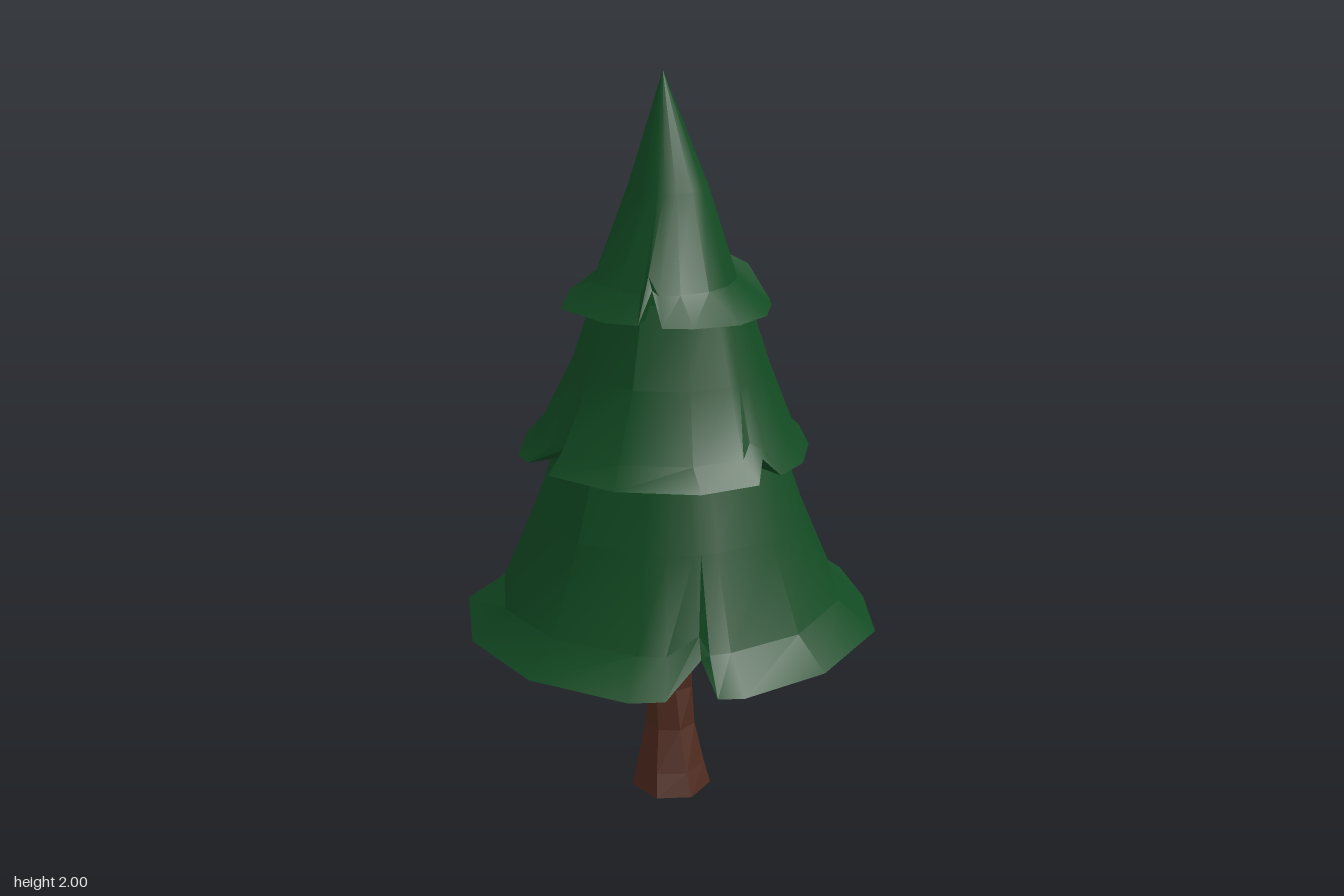
import * as THREE from 'three';
import { toCreasedNormals } from 'three/addons/utils/BufferGeometryUtils.js';

const green = new THREE.MeshStandardMaterial({ color: 0x124a22, side: THREE.DoubleSide });
const brown = new THREE.MeshStandardMaterial({ color: 0x4e2a1e, flatShading: true });

// Skin a stack of closed loops (bottom to top), each running from +x towards +z
function loft(loops, crease) {
  const pos = [];
  const tri = (...pts) => pts.forEach((p) => pos.push(...p));
  const n = loops[0].length;
  for (let k = 0; k < loops.length - 1; k++) {
    for (let i = 0; i < n; i++) {
      const j = (i + 1) % n, lo = loops[k], up = loops[k + 1];
      tri(lo[j], lo[i], up[i]);
      tri(lo[j], up[i], up[j]);
    }
  }
  // closed underside
  const base = loops[0];
  const centre = [0, 1, 2].map((a) => base.reduce((s, p) => s + p[a], 0) / n);
  centre[1] = Math.min(...base.map((p) => p[1])) + 0.01;
  for (let i = 0; i < n; i++) tri(centre, base[i], base[(i + 1) % n]);
  const g = new THREE.BufferGeometry();
  g.setAttribute('position', new THREE.Float32BufferAttribute(pos, 3));
  g.computeVertexNormals();
  return crease ? toCreasedNormals(g, crease) : g;
}

// One skirt of foliage. rim: [x, z, notch?]; rings: [y, radius, cx, cz]
function foliage(name, rimY, lift, rim, rings) {
  const loops = [rim.map(([x, z, notch]) => [x, rimY + (notch ? lift : 0), z])];
  rings.forEach(([y, r, cx = 0, cz = 0], k) => {
    loops.push(rim.map(([x, z, notch]) => {
      const a = Math.atan2(z, x);
      const pinch = notch && k === 0;
      const rr = pinch ? r * 0.93 : r;
      return [cx + rr * Math.cos(a), y + (pinch ? lift * 0.6 : 0), cz + rr * Math.sin(a)];
    }));
  });
  const mesh = new THREE.Mesh(loft(loops, 0.5), green);
  mesh.name = name;
  return mesh;
}

// Trunk: seven-sided sections with a slight twist and a flared foot
function trunk() {
  const sections = [ // y, cx, cz, rx, rz, twist
    [0, 0, 0.04, 0.112, 0.132, 0],
    [0.06, 0, 0.03, 0.096, 0.112, 0.05],
    [0.17, 0.002, 0.01, 0.07, 0.08, 0.15],
    [0.28, 0.003, 0.008, 0.065, 0.055, 0.3],
    [0.4, 0, 0.01, 0.066, 0.066, 0.42],
    [0.54, 0, 0.012, 0.07, 0.078, 0.5],
  ];
  const loops = sections.map(([y, cx, cz, rx, rz, twist]) =>
    Array.from({ length: 7 }, (_, i) => {
      const a = (i / 7) * Math.PI * 2 + 0.22 + twist;
      return [cx + rx * Math.cos(a), y, cz + rz * Math.sin(a)];
    }));
  const mesh = new THREE.Mesh(loft(loops), brown);
  mesh.name = 'trunk';
  return mesh;
}

export function createModel() {
  const tree = new THREE.Group();
  tree.name = 'pineTree';
  tree.add(trunk());

  tree.add(foliage('lowerFoliage', 0.487, 0.07, [
    [-0.125, -0.56], [0.145, -0.52], [0.27, -0.46], [0.38, -0.38], [0.515, -0.19],
    [0.495, -0.13, 1], [0.555, -0.08], [0.55, 0.16], [0.375, 0.42], [0.15, 0.555],
    [0.08, 0.555], [0.045, 0.465, 1], [-0.055, 0.56], [-0.15, 0.56], [-0.4, 0.4],
    [-0.545, 0.14], [-0.555, -0.16], [-0.385, -0.415], [-0.32, -0.455],
    [-0.235, -0.395, 1], [-0.215, -0.51],
  ], [[0.57, 0.47], [0.81, 0.37], [1.03, 0.295]]));

  tree.add(foliage('middleFoliage', 0.988, 0.05, [
    [-0.065, -0.41], [0.155, -0.38], [0.195, -0.35], [0.185, -0.275, 1], [0.27, -0.295],
    [0.325, -0.245], [0.37, -0.13], [0.375, 0.03], [0.34, 0.18], [0.27, 0.27],
    [0.22, 0.28, 1], [0.205, 0.34], [0.05, 0.4], [-0.17, 0.36], [-0.335, 0.225],
    [-0.295, 0.17, 1], [-0.385, 0.12], [-0.41, 0.06], [-0.38, -0.14], [-0.25, -0.32],
  ], [[1.045, 0.345, -0.01, 0.005], [1.22, 0.268], [1.43, 0.2]]));

  tree.add(foliage('upperFoliage', 1.392, 0.08, [
    [0, -0.265], [0.14, -0.21], [0.225, -0.12], [0.215, -0.06, 1], [0.265, 0],
    [0.265, 0.06], [0.24, 0.17], [0.16, 0.25], [0.04, 0.275], [-0.04, 0.265],
    [-0.06, 0.19, 1], [-0.1, 0.235], [-0.185, 0.2], [-0.29, 0.06], [-0.26, -0.12],
    [-0.145, -0.26], [-0.08, -0.19, 1], [-0.075, -0.26],
  ], [[1.46, 0.192, -0.015, 0.01], [1.7, 0.108, -0.005, -0.01], [2, 0, -0.015, -0.03]]));

  return tree;
}
